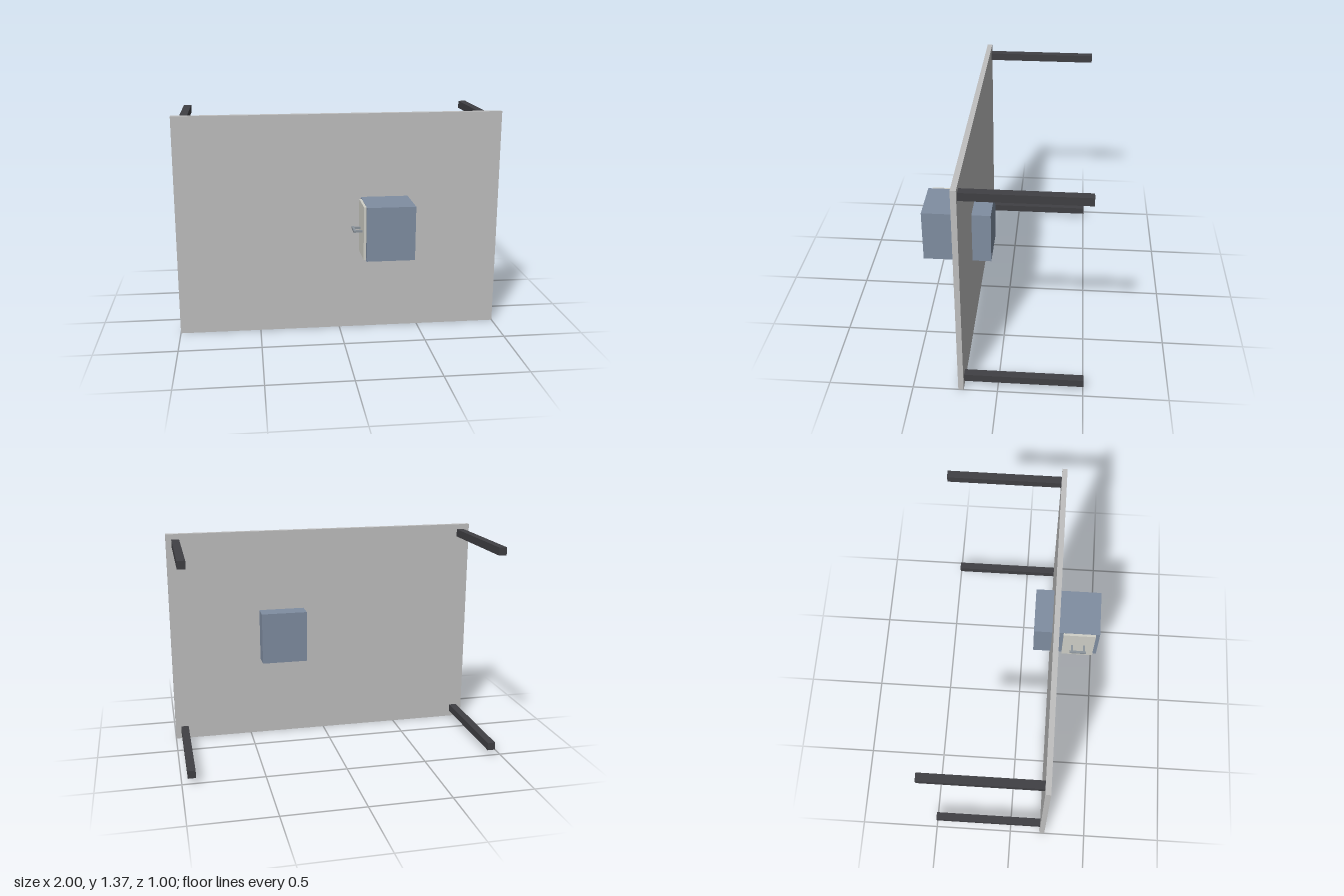
import * as THREE from 'three';

const mat = (name, color) => {
  const m = new THREE.MeshStandardMaterial({ color });
  m.name = name;
  return m;
};

export function createModel() {
  const model = new THREE.Group();
  model.name = 'tippedDesk';
  const lightGrey = mat('light grey top', 0xc0c0c0);
  const charcoal = mat('charcoal legs', 0x404044);
  const slate = mat('slate blue cabinet', 0x808ea2);
  const pale = mat('pale drawer front', 0xd0d0c8);
  const steel = mat('steel handle', 0x8c949c);

  // Box given by its extents on each axis
  const box = (name, material, [x0, x1], [y0, y1], [z0, z1], parent = model) => {
    const mesh = new THREE.Mesh(new THREE.BoxGeometry(x1 - x0, y1 - y0, z1 - z0), material);
    mesh.position.set((x0 + x1) / 2, (y0 + y1) / 2, (z0 + z1) / 2);
    mesh.name = name;
    parent.add(mesh);
  };

  // Desk top, standing on its long edge
  box('deskTop', lightGrey, [-1, 1], [0, 1.367], [0.199, 0.231]);

  // Four square legs pointing back
  for (const x of [-0.94, 0.94]) {
    for (const y of [0.06, 1.31]) {
      const side = x > 0 ? 'left' : 'right';
      const level = y > 1 ? 'Upper' : 'Lower';
      box(`${side}${level}Leg`, charcoal, [x - 0.024, x + 0.024], [y - 0.024, y + 0.024], [-0.502, 0.199]);
    }
  }

  // Cabinet passing through the top
  box('cabinet', slate, [0.132, 0.424], [0.521, 0.851], [0.083, 0.502]);

  // Drawer front with its bar handle on the right side
  box('drawerFront', pale, [0.117, 0.132], [0.523, 0.849], [0.272, 0.476]);
  const handle = new THREE.Group();
  handle.name = 'drawerHandle';
  model.add(handle);
  box('handleBar', steel, [0.064, 0.078], [0.678, 0.692], [0.321, 0.426], handle);
  for (const z of [0.335, 0.412]) {
    box('handlePost', steel, [0.078, 0.117], [0.679, 0.691], [z - 0.006, z + 0.006], handle);
  }
  return model;
}
